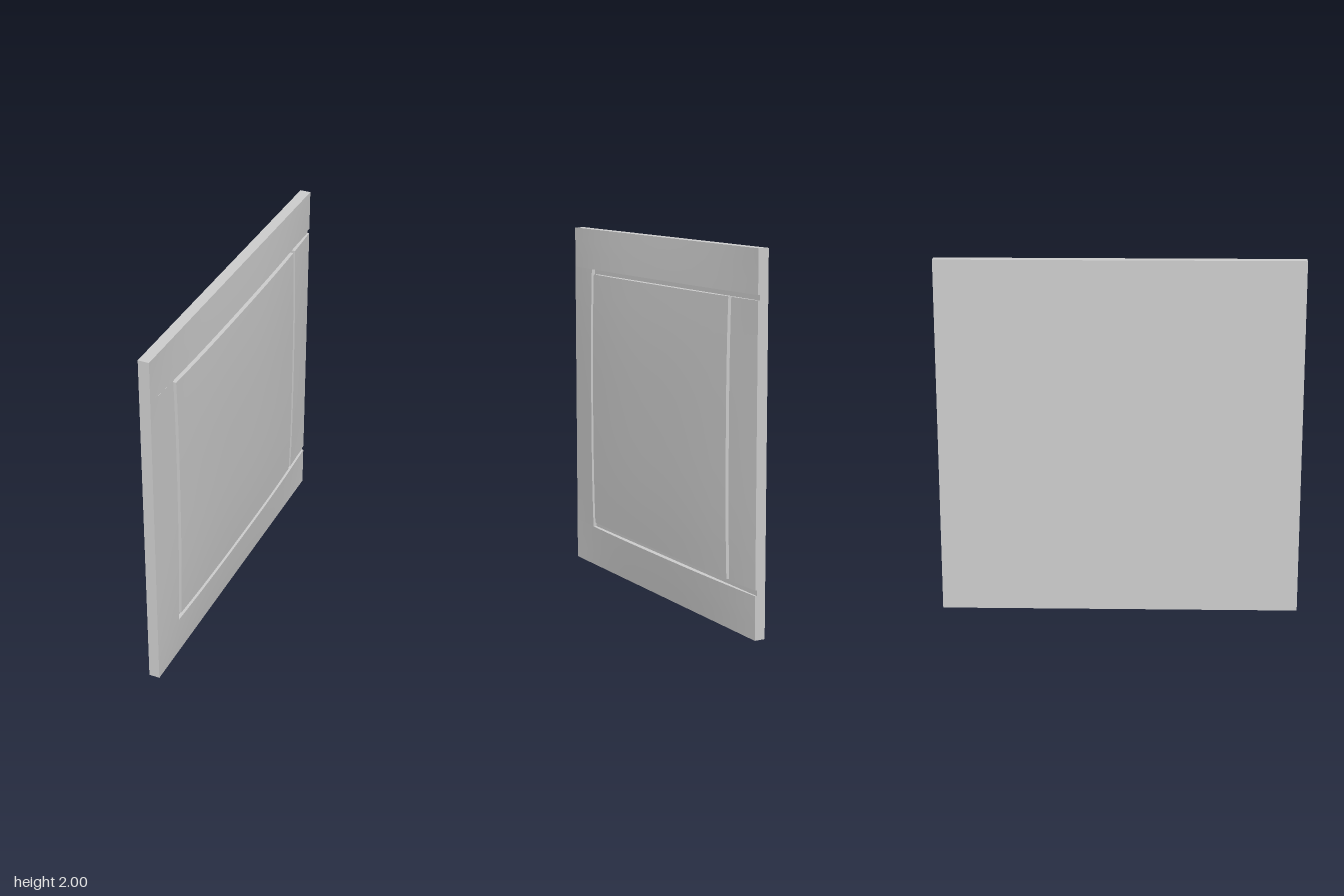
import * as THREE from 'three';

const FLOOR = 0; // x of the groove floor

// Height of the gently domed face; falls to a straight rim on all four edges
const fall = (t) => 1 - Math.pow(Math.min(1, Math.abs(t)), 2.6);
const dome = (y, z) => 0.01 + 0.039 * fall(y - 1) * fall(z);

export function createModel() {
  const group = new THREE.Group();
  group.name = 'groovedPanel';
  const material = new THREE.MeshStandardMaterial({ color: 0xcccccc });

  // Flat backing slab, also the floor of the grooves
  const back = new THREE.Mesh(new THREE.BoxGeometry(FLOOR + 0.05, 2, 2), material);
  back.name = 'backSlab';
  back.position.set((FLOOR - 0.05) / 2, 1, 0);
  group.add(back);

  // Raised block whose outer face follows the dome
  function addBlock(name, y0, y1, z0, z1) {
    const segments = (length) => Math.max(3, Math.round(length * 8));
    const geometry = new THREE.BoxGeometry(1, y1 - y0, z1 - z0, 1, segments(y1 - y0), segments(z1 - z0));
    geometry.translate(0, (y0 + y1) / 2, (z0 + z1) / 2);
    const p = geometry.attributes.position;
    for (let i = 0; i < p.count; i++) {
      p.setX(i, p.getX(i) > 0 ? dome(p.getY(i), p.getZ(i)) : FLOOR);
    }
    geometry.computeVertexNormals();
    const mesh = new THREE.Mesh(geometry, material);
    mesh.name = name;
    group.add(mesh);
  }

  // Border strips, main panel and the narrow panel, with grooves between them
  addBlock('topBorder', 1.77, 2, -1, 1);
  addBlock('bottomBorder', 0, 0.235, -1, 1);
  addBlock('frontBorder', 0.235, 1.77, 0.77, 1);
  addBlock('mainPanel', 0.265, 1.742, -0.74, 0.742);
  addBlock('narrowPanel', 0.265, 1.742, -1, -0.767);
  return group;
}
